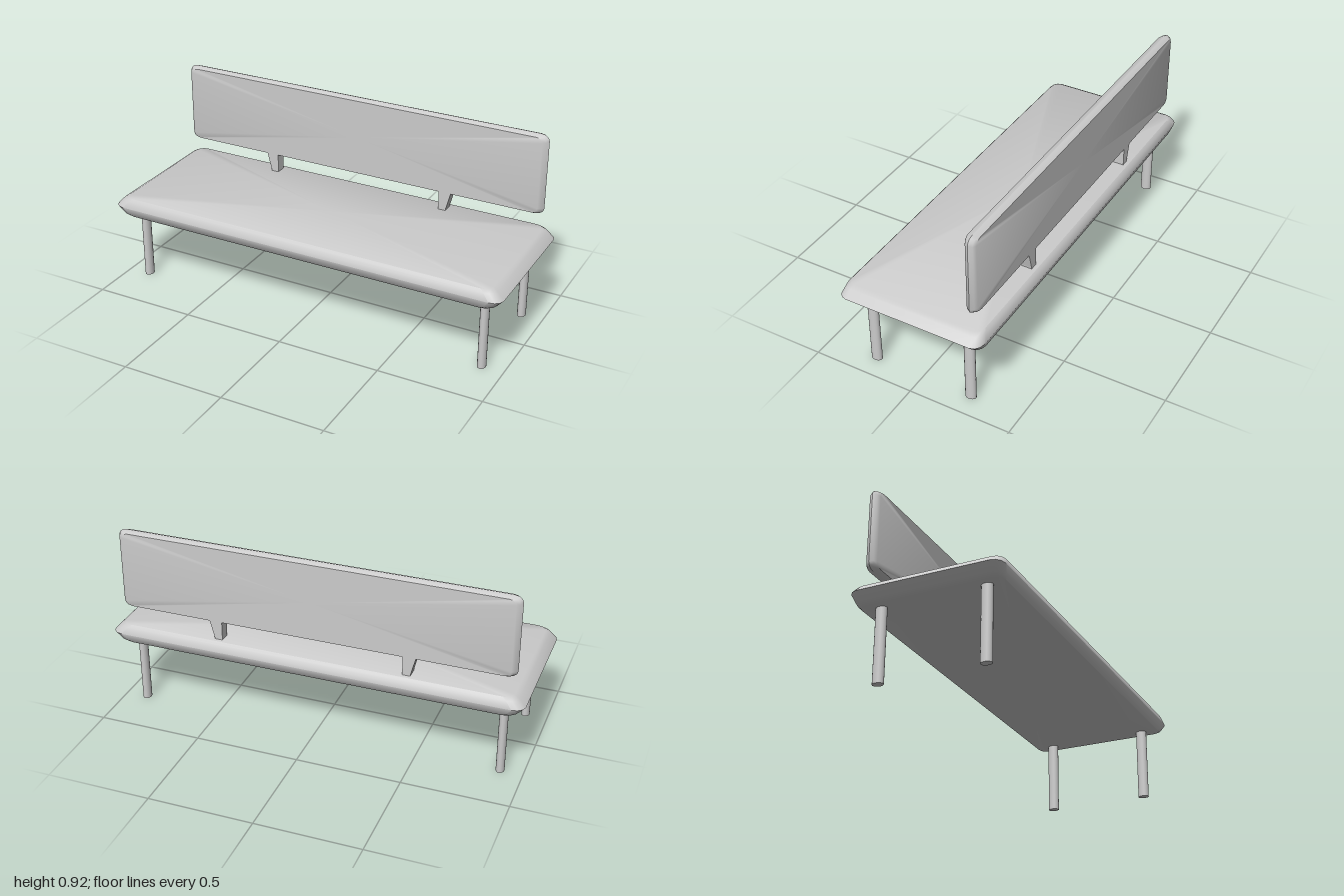
import * as THREE from 'three';
import { toCreasedNormals } from 'three/addons/utils/BufferGeometryUtils.js';

const material = new THREE.MeshStandardMaterial({ color: 0xcccccc });

// Outline of a rounded rectangle, counter-clockwise
function roundedRing(halfW, halfH, rx, ry, steps = 3) {
  const points = [];
  for (let corner = 0; corner < 4; corner++) {
    const sx = corner === 0 || corner === 3 ? 1 : -1;
    const sy = corner < 2 ? 1 : -1;
    for (let i = 0; i <= steps; i++) {
      const a = (corner + i / steps) * Math.PI / 2;
      points.push([sx * (halfW - rx) + rx * Math.cos(a), sy * (halfH - ry) + ry * Math.sin(a)]);
    }
  }
  return points;
}

// Cushion lofted along z through rings of [z, halfW, halfH, rx, ry], closed at both ends
function cushion(rings) {
  const positions = [], index = [];
  let n = 0;
  for (const [z, w, h, rx, ry] of rings) {
    const ring = roundedRing(w, h, rx, ry);
    n = ring.length;
    for (const [x, y] of ring) positions.push(x, y, z);
  }
  const last = (rings.length - 1) * n;
  const back = positions.length / 3, front = back + 1;
  positions.push(0, 0, rings[0][0], 0, 0, rings[rings.length - 1][0]);
  for (let i = 0; i < n; i++) {
    const j = (i + 1) % n;
    for (let r = 0; r < last; r += n) {
      index.push(r + i, r + j, r + n + j, r + i, r + n + j, r + n + i);
    }
    index.push(back, j, i, front, last + i, last + j);
  }
  const geometry = new THREE.BufferGeometry();
  geometry.setAttribute('position', new THREE.Float32BufferAttribute(positions, 3));
  geometry.setIndex(index);
  return toCreasedNormals(geometry, 0.75);
}

function addMesh(group, name, geometry, x = 0, y = 0, z = 0) {
  const mesh = new THREE.Mesh(geometry, material);
  mesh.name = name;
  mesh.position.set(x, y, z);
  group.add(mesh);
  return mesh;
}

export function createModel() {
  const bench = new THREE.Group();
  bench.name = 'bench';

  // Seat pad with bulging edges
  const seat = cushion([
    [-0.048, 0.945, 0.335, 0.045, 0.035],
    [-0.036, 0.967, 0.346, 0.05, 0.04],
    [0, 1, 0.357, 0.055, 0.045],
    [0.035, 0.967, 0.346, 0.05, 0.04],
    [0.047, 0.945, 0.335, 0.045, 0.035],
  ]).rotateX(-Math.PI / 2);
  addMesh(bench, 'seat', seat, 0, 0.398, 0);

  // Thin back panel with a ridged rim
  const backrest = cushion([
    [-0.027, 0.925, 0.187, 0.03, 0.025],
    [-0.018, 0.94, 0.191, 0.035, 0.028],
    [0, 0.95, 0.198, 0.04, 0.03],
    [0.018, 0.94, 0.191, 0.035, 0.028],
    [0.027, 0.925, 0.187, 0.03, 0.025],
  ]);
  addMesh(bench, 'backrest', backrest, 0, 0.724, -0.289);

  for (const side of [-1, 1]) {
    const label = side > 0 ? 'left' : 'right';

    // Bracket joining the panel to the seat, flared on its outer face
    const profile = new THREE.Shape([
      [0.437, 0.43], [0.472, 0.43], [0.476, 0.455], [0.5, 0.545], [0.437, 0.545],
    ].map(([x, y]) => new THREE.Vector2(side * x, y)));
    const bracket = new THREE.ExtrudeGeometry(profile, { depth: 0.053, bevelEnabled: false });
    addMesh(bench, `${label}BackBracket`, bracket, 0, 0, -0.3155);

    // Oval legs
    for (const end of [-1, 1]) {
      const leg = new THREE.CylinderGeometry(0.02, 0.02, 0.37, 16).scale(1, 1, 1.33);
      addMesh(bench, `${label}${end > 0 ? 'Front' : 'Back'}Leg`, leg, side * 0.893, 0.185, end * 0.248);
    }
  }
  return bench;
}
